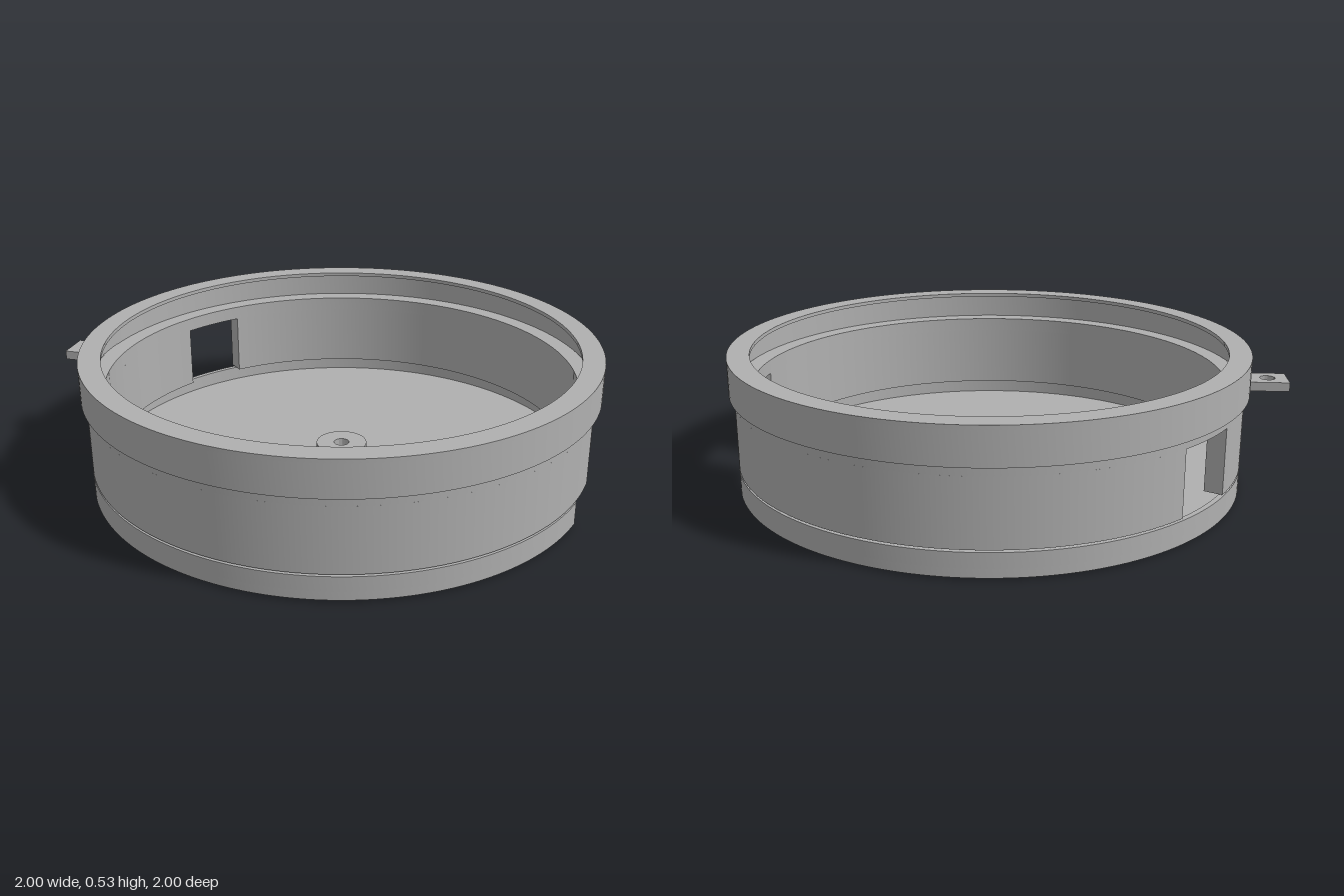
import * as THREE from 'three';
import { toCreasedNormals } from 'three/addons/utils/BufferGeometryUtils.js';

const rad = THREE.MathUtils.degToRad;
const AXIS = rad(36);          // direction of the notch and side window; the tab is opposite
const R = 0.98;                // outer radius of base and wall

export function createModel() {
  const model = new THREE.Group();
  model.name = 'roundHousing';
  const grey = new THREE.MeshStandardMaterial({ color: 0xb0b0b0 });
  grey.name = 'grey';

  // Extrude a plan shape (shape y points to the back) between two heights
  function slab(name, shape, y0, y1, parent = model) {
    let geo = new THREE.ExtrudeGeometry(shape, { depth: y1 - y0, bevelEnabled: false, curveSegments: 96 });
    geo.rotateX(-Math.PI / 2);
    geo.translate(0, y0, 0);
    geo = toCreasedNormals(geo, rad(30));
    const mesh = new THREE.Mesh(geo, grey);
    mesh.name = name;
    parent.add(mesh);
    return mesh;
  }

  const circle = (x, y, r) => new THREE.Path().absarc(x, y, r, 0, Math.PI * 2, false);

  function ring(rIn, rOut) {
    const s = new THREE.Shape().absarc(0, 0, rOut, 0, Math.PI * 2, false);
    s.holes.push(circle(0, 0, rIn));
    return s;
  }

  function sector(rIn, rOut, a0, a1) {
    const s = new THREE.Shape();
    s.absarc(0, 0, rOut, a0, a1, false);
    s.absarc(0, 0, rIn, a1, a0, true);
    s.closePath();
    return s;
  }

  function group(name) {
    const g = new THREE.Group();
    g.name = name;
    model.add(g);
    return g;
  }

  // Base tray: floor with a round notch, low rim and drilled centre boss
  const base = group('base');
  const d = 0.97, r = 0.26;
  const half = Math.acos((R * R + d * d - r * r) / (2 * R * d));
  const nx = d * Math.cos(AXIS), ny = d * Math.sin(AXIS);
  const angleFromNotch = (a) => Math.atan2(R * Math.sin(a) - ny, R * Math.cos(a) - nx);
  const floor = new THREE.Shape();
  floor.absarc(0, 0, R, AXIS + half, AXIS - half + Math.PI * 2, false);
  floor.absarc(nx, ny, r, angleFromNotch(AXIS - half), angleFromNotch(AXIS + half), true);
  floor.closePath();
  floor.holes.push(circle(0, 0, 0.03));
  slab('floor', floor, 0.007, 0.04, base);
  slab('baseRim', sector(0.96, R, AXIS + half, AXIS - half + Math.PI * 2), 0.04, 0.097, base);
  slab('centreBoss', ring(0.03, 0.1), 0.04, 0.105, base);
  slab('bossSleeve', ring(0.027, 0.032), 0, 0.04, base);

  // Wall: two arcs leaving two windows, closed by a full band above
  const wall = group('wall');
  const w1 = rad(6.6), w2 = rad(8);
  slab('wallArcBack', sector(0.91, R, AXIS + w1, Math.PI - w2), 0.105, 0.355, wall);
  slab('wallArcFront', sector(0.91, R, Math.PI + w2, AXIS - w1 + Math.PI * 2), 0.105, 0.355, wall);
  slab('wallBand', ring(0.91, R), 0.355, 0.41, wall);

  // Cap ring: skirt around the wall and an inward lip on top
  const cap = group('cap');
  slab('capSkirt', ring(0.983, 1), 0.39, 0.515, cap);
  slab('capLip', ring(0.915, 1), 0.515, 0.53, cap);

  // Mounting tab with a screw hole
  const tab = new THREE.Shape();
  tab.moveTo(0.95, -0.065);
  tab.lineTo(1.15, -0.065);
  tab.lineTo(1.15, 0.065);
  tab.lineTo(0.95, 0.065);
  tab.closePath();
  tab.holes.push(circle(1.075, 0, 0.029));
  slab('mountingTab', tab, 0.375, 0.41).rotation.y = AXIS + Math.PI;

  return model;
}
